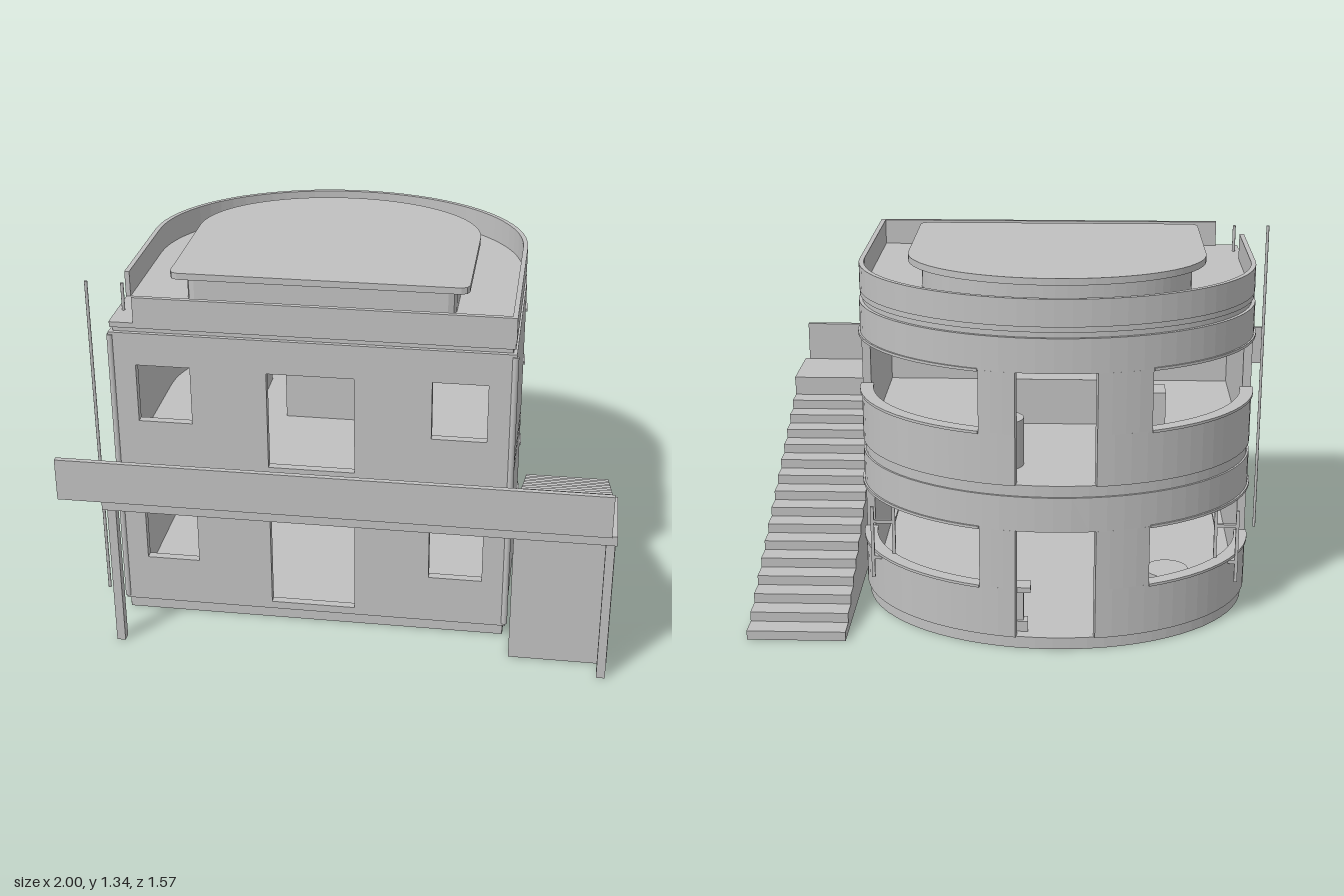
import * as THREE from 'three';

const CX = -0.12, CZ = -0.2, FRONT = 0.5;

export function createModel() {
  const model = new THREE.Group();
  const plaster = new THREE.MeshStandardMaterial({ color: 0xc0c0c0 });
  plaster.name = 'plaster grey';

  const add = (name, geometry, x = 0, y = 0, z = 0) => {
    const mesh = new THREE.Mesh(geometry, plaster);
    mesh.name = name;
    mesh.position.set(x, y, z);
    model.add(mesh);
    return mesh;
  };
  // Box given by its limits
  const box = (name, x0, x1, y0, y1, z0, z1) =>
    add(name, new THREE.BoxGeometry(x1 - x0, y1 - y0, z1 - z0), (x0 + x1) / 2, (y0 + y1) / 2, (z0 + z1) / 2);
  const cylinder = (name, r, x, z, y0, y1, sides = 24) =>
    add(name, new THREE.CylinderGeometry(r, r, y1 - y0, sides), x, (y0 + y1) / 2, z);
  // Plan outline in (x, -z), raised from y0 to y1
  const raise = (name, points, y0, y1) => {
    const g = new THREE.ExtrudeGeometry(new THREE.Shape(points), { depth: y1 - y0, bevelEnabled: false });
    g.rotateX(-Math.PI / 2);
    return add(name, g, 0, y0, 0);
  };
  // Points of the rounded back, from angle a to b in degrees (0 = left side, 180 = right side)
  const arc = (rx, rz, a, b) => {
    const n = Math.max(2, Math.ceil(Math.abs(b - a) / 5));
    return Array.from({ length: n + 1 }, (_, i) => {
      const t = THREE.MathUtils.degToRad(a + (b - a) * i / n);
      return new THREE.Vector2(CX + rx * Math.cos(t), -CZ + rz * Math.sin(t));
    });
  };
  // Full D-shaped slab
  const slab = (name, rx, rz, front, y0, y1, r = 0.005) => raise(name, [
    new THREE.Vector2(CX - rx, -front + r), new THREE.Vector2(CX - rx + r * 0.3, -front + r * 0.3),
    new THREE.Vector2(CX - rx + r, -front), new THREE.Vector2(CX + rx - r, -front),
    new THREE.Vector2(CX + rx - r * 0.3, -front + r * 0.3), new THREE.Vector2(CX + rx, -front + r),
    ...arc(rx, rz, 0, 180)], y0, y1);
  // Strip of curved wall; startZ / endZ extend it along the straight sides
  const strip = (name, a, b, y0, y1, startZ = null, endZ = null, rx = 0.735, rz = 0.58, t = 0.032) => {
    const path = (qx, qz) => {
      const p = arc(qx, qz, a, b);
      if (startZ !== null) p.unshift(new THREE.Vector2(CX + qx, -startZ));
      if (endZ !== null) p.push(new THREE.Vector2(CX - qx, -endZ));
      return p;
    };
    return raise(name, [...path(rx, rz), ...path(rx - t, rz - t).reverse()], y0, y1);
  };

  // Floors and roof
  slab('baseSlab', 0.725, 0.57, 0.495, 0, 0.045);
  slab('upperFloor', 0.728, 0.572, 0.5, 0.585, 0.632);
  slab('roofSlab', 0.722, 0.568, 0.49, 1.17, 1.19);
  slab('roofDeck', 0.73, 0.575, 0.505, 1.19, 1.21);

  // Two storeys, with curved windows and a back door
  const doorA = 79.5, doorB = 102, winA = 69, winB = 118;
  for (const [base, top, floor] of [[0.045, 0.59, 0], [0.63, 1.17, 0.585]]) {
    const sill = floor + 0.235, head = floor + 0.46;
    strip('leftSillWall', 0, doorA, base, sill, FRONT);
    strip('rightSillWall', doorB, 180, base, sill, null, FRONT);
    strip('leftDoorPier', winA, doorA, sill, head);
    strip('rightDoorPier', doorB, winB, sill, head);
    strip('lintelWall', 0, 180, head, top, FRONT, FRONT);
    box('leftSideWall', 0.583, 0.615, sill, head, CZ, FRONT);
    box('rightSideWall', -0.855, -0.823, sill, head, CZ, FRONT);
    // Projecting window ledges
    for (const y of [sill - 0.006, head - 0.004]) {
      strip('leftWindowLedge', 0, winA, y, y + 0.01, null, null, 0.742, 0.586, 0.05);
      strip('rightWindowLedge', winB, 180, y, y + 0.01, null, null, 0.742, 0.586, 0.05);
    }
    // Front wall with two windows and a door
    const rect = (Type, x0, x1, y0, y1) => new Type([[x0, y0], [x1, y0], [x1, y1], [x0, y1]]
      .map(([x, y]) => new THREE.Vector2(x, y)));
    const wall = rect(THREE.Shape, -0.855, 0.615, base, top);
    wall.holes.push(
      rect(THREE.Path, -0.76, -0.56, sill, head),
      rect(THREE.Path, 0.32, 0.52, sill, head),
      rect(THREE.Path, -0.28, 0.04, floor + 0.075, floor + 0.455));
    add('frontWall', new THREE.ExtrudeGeometry(wall, { depth: 0.032, bevelEnabled: false }), 0, 0, 0.474);
    // Slim corner trims
    for (const s of [-1, 1]) cylinder('cornerTrim', 0.012, CX + s * 0.73, 0.5, base + 0.01, top - 0.01, 12);
  }

  // Roof parapet, open at the front right corner
  strip('roofParapet', 0, 180, 1.21, 1.308, 0.505, 0.26, 0.732, 0.58, 0.018);
  box('frontParapet', -0.76, 0.612, 1.21, 1.308, 0.487, 0.505);

  // Raised roof platform
  slab('platformBase', 0.5, 0.35, 0.27, 1.21, 1.31, 0.03);
  slab('platformTop', 0.55, 0.4, 0.32, 1.31, 1.335, 0.03);

  // Ladder poles by the parapet opening
  cylinder('tallPole', 0.006, -0.96, 0.39, 0.01, 1.315, 10);
  cylinder('shortPole', 0.006, -0.825, 0.39, 1.2, 1.315, 10);

  // Terrace
  box('terraceSlab', -0.84, 1, 0.588, 0.625, 0.49, 0.775);
  box('terraceParapet', -1, 0.98, 0.625, 0.785, 0.765, 0.785);
  for (const x of [-0.82, 0.978]) box('terracePost', x - 0.016, x + 0.016, 0, 0.588, 0.695, 0.73);

  // Solid outside stair
  const steps = 15, run = 1.22 / steps, rise = 0.0367;
  const profile = [new THREE.Vector2(-0.64, 0), new THREE.Vector2(0.73, 0)];
  for (let i = 0; i < steps; i++) {
    const y = 0.035 + i * rise;
    profile.push(new THREE.Vector2(0.73 - i * run, y), new THREE.Vector2(0.73 - (i + 1) * run, y));
  }
  profile.push(new THREE.Vector2(-0.49, 0.588), new THREE.Vector2(-0.64, 0.588));
  const stair = new THREE.ExtrudeGeometry(new THREE.Shape(profile), { depth: 0.363, bevelEnabled: false });
  stair.rotateY(Math.PI / 2);
  add('stair', stair, 0.636, 0, 0);

  // Railings at the ground floor windows, mirrored
  for (const s of [-1, 1]) {
    const x = CX + s * 0.6, out = CX + s * 0.68;
    box('railInnerPost', x - 0.006, x + 0.006, 0.14, 0.425, -0.474, -0.462);
    box('railOuterPost', out - 0.006, out + 0.006, 0.14, 0.425, -0.474, -0.462);
    box('railArm', Math.min(x, out), Math.max(x, out), 0.36, 0.372, -0.474, -0.462);
    box('railFoot', Math.min(x, out), Math.max(x, out), 0.215, 0.228, -0.474, -0.43);
    box('rail', x - 0.006, x + 0.006, 0.36, 0.372, -0.462, -0.1);
  }

  // Furniture
  box('stoolSeat', -0.04, 0.04, 0.203, 0.223, -0.73, -0.665);
  box('stoolLeg', -0.014, 0.014, 0.06, 0.203, -0.711, -0.685);
  box('stoolFoot', -0.03, 0.04, 0.045, 0.085, -0.72, -0.675);
  cylinder('roundTableTop', 0.08, -0.54, -0.5, 0.185, 0.205);
  cylinder('roundTableLeg', 0.015, -0.54, -0.5, 0.045, 0.185);
  cylinder('upperDrum', 0.07, 0.06, -0.55, 0.632, 0.81);
  box('upperCabinet', -0.53, -0.42, 0.632, 0.83, -0.31, -0.2);
  box('upperCounter', -0.3, 0.06, 0.632, 0.812, -0.1, 0.02);
  return model;
}
